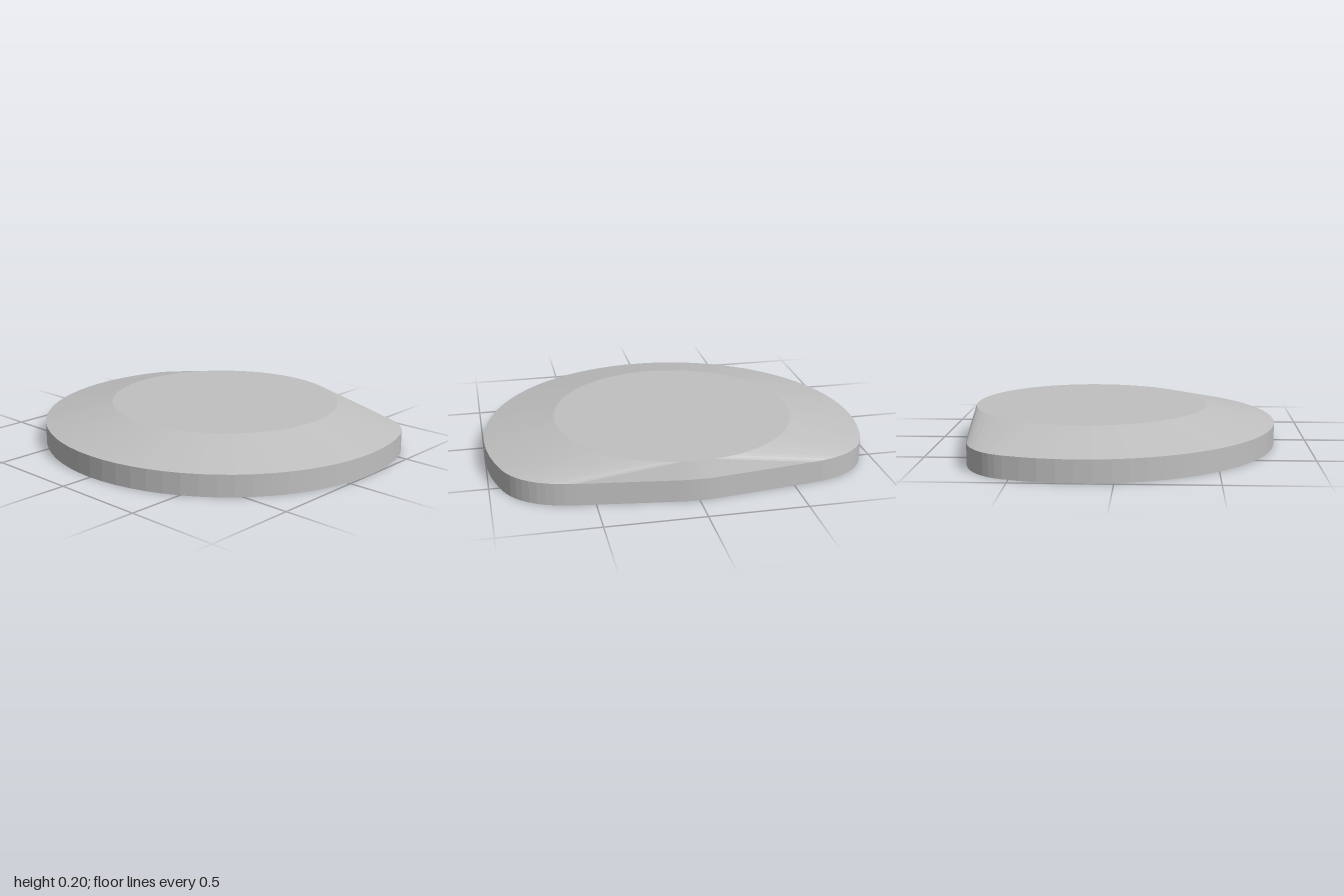
import * as THREE from 'three';

const CENTRE_Z = -0.174, OUTER_R = 1, TOP_R = 0.63;
const RIM_Y = 0.115, TOP_Y = 0.2;

// Right half of the outline, front to back: each entry holds a point and its outward normal.
function halfOutline() {
  const out = [];
  const endAngle = Math.PI - Math.asin(0.935);
  for (let i = 0; i < 22; i++) {
    const a = (endAngle * i) / 22, nx = Math.sin(a), nz = Math.cos(a);
    out.push({ x: nx * OUTER_R, z: CENTRE_Z + nz * OUTER_R, nx, nz });
  }
  const addCurve = (p, c, q, steps, end) => {
    const curve = new THREE.QuadraticBezierCurve(new THREE.Vector2(...p), new THREE.Vector2(...c), new THREE.Vector2(...q));
    for (let i = 0; i <= steps; i++) {
      const u = (end * i) / steps, v = curve.getPoint(u), t = curve.getTangent(u);
      out.push({ x: v.x, z: v.y, nx: -t.y, nz: t.x });
    }
  };
  addCurve([0.935, -0.53], [0.86, -0.726], [0.6, -0.76], 10, 1); // rounded rear corner
  addCurve([0.1, -0.825], [0, -0.838], [-0.1, -0.825], 3, 0.5); // blunt rear tip
  return out;
}

// Wall between two closed rings with matching point counts.
function loft(lower, upper) {
  const pos = [];
  lower.forEach((a, i) => {
    const j = (i + 1) % lower.length;
    const b = lower[j], c = upper[j], d = upper[i];
    for (const p of [a, b, c, a, c, d]) pos.push(p.x, p.y, p.z);
  });
  return finish(pos);
}

// Flat lid over a ring, facing up or down.
function cap(ring, up) {
  const pos = [], mid = new THREE.Vector3(0, ring[0].y, CENTRE_Z);
  ring.forEach((a, i) => {
    const b = ring[(i + 1) % ring.length];
    for (const p of up ? [mid, a, b] : [mid, b, a]) pos.push(p.x, p.y, p.z);
  });
  return finish(pos);
}

function finish(pos) {
  const g = new THREE.BufferGeometry();
  g.setAttribute('position', new THREE.Float32BufferAttribute(pos, 3));
  g.computeVertexNormals();
  return g;
}

export function createModel() {
  const group = new THREE.Group();
  group.name = 'roundedPlate';
  const grey = new THREE.MeshStandardMaterial({ color: 0xc0c0c0 });
  grey.name = 'plain grey';

  const half = halfOutline();
  const mirrored = half.slice(1, -1).reverse().map((p) => ({ ...p, x: -p.x, nx: -p.nx }));
  const outline = [...half, ...mirrored];

  const bottom = outline.map((p) => new THREE.Vector3(p.x, 0, p.z));
  const rim = outline.map((p) => new THREE.Vector3(p.x, RIM_Y, p.z));
  // The round top meets the rim along matching normals
  const top = outline.map((p) => new THREE.Vector3(p.nx * TOP_R, TOP_Y, CENTRE_Z + p.nz * TOP_R));

  const add = (name, geometry) => {
    const mesh = new THREE.Mesh(geometry, grey);
    mesh.name = name;
    group.add(mesh);
  };
  add('underside', cap(bottom, false));
  add('sideWall', loft(bottom, rim));
  add('slopedShoulder', loft(rim, top));
  add('roundTop', cap(top, true));
  return group;
}
